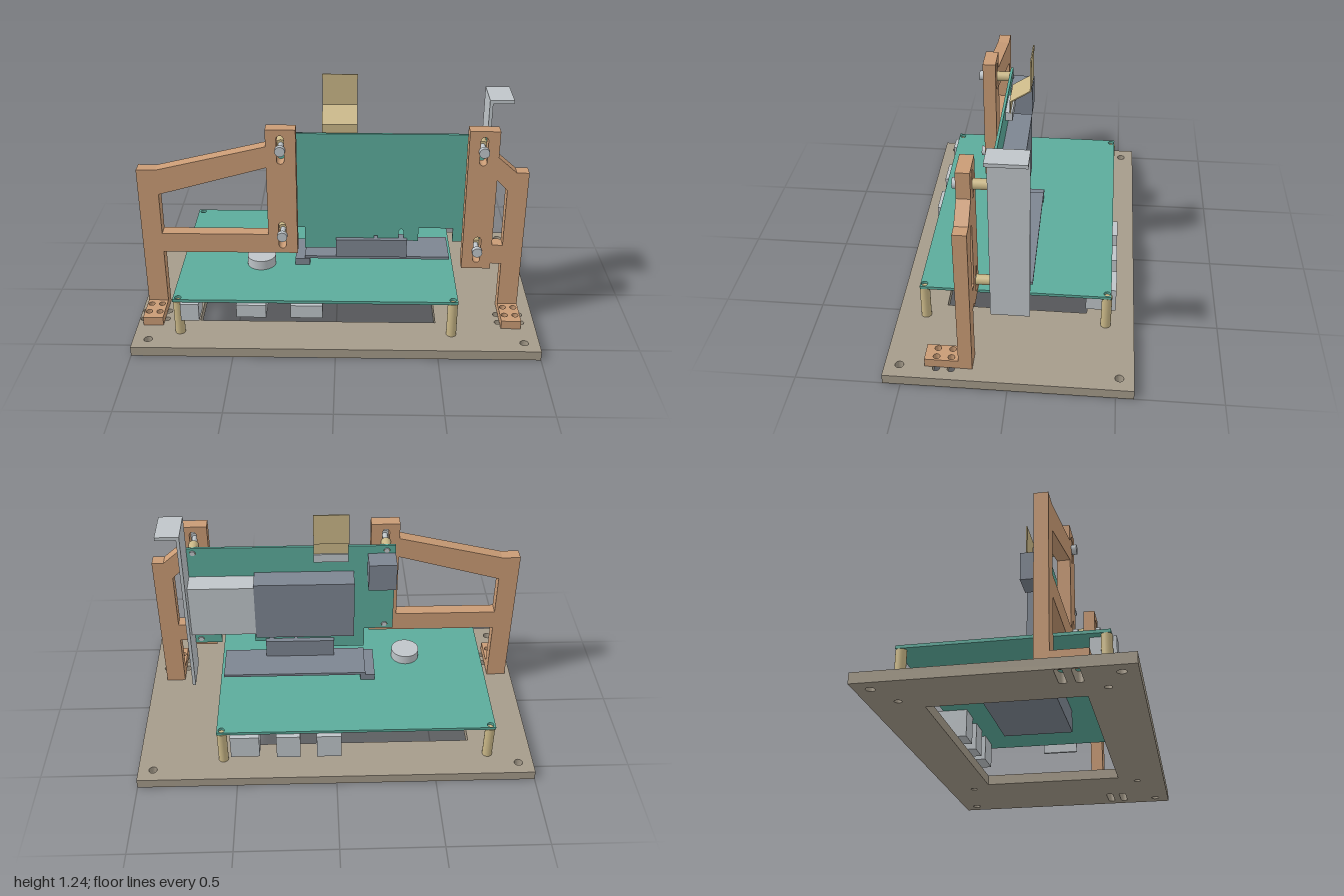
import * as THREE from 'three';

const mat = (name, color) => {
  const m = new THREE.MeshStandardMaterial({ color });
  m.name = name;
  return m;
};

export function createModel() {
  const model = new THREE.Group();
  model.name = 'circuitBoardTestStand';
  const basePlateMat = mat('taupe', 0xa59b8a);
  const bracketMat = mat('copper brown', 0xc99b75);
  const boardMat = mat('board green', 0x5cab9b);
  const slate = mat('slate', 0x7d8591);
  const silver = mat('silver', 0xbfc5c9);
  const brass = mat('brass', 0xc9b787);

  const add = (name, geometry, material, parent = model) => {
    const mesh = new THREE.Mesh(geometry, material);
    mesh.name = name;
    parent.add(mesh);
    return mesh;
  };
  // Box given by its limits on each axis
  const box = (name, material, [x0, x1], [y0, y1], [z0, z1], parent) => {
    const g = new THREE.BoxGeometry(x1 - x0, y1 - y0, z1 - z0);
    g.translate((x0 + x1) / 2, (y0 + y1) / 2, (z0 + z1) / 2);
    return add(name, g, material, parent);
  };
  const poly = (pts) => pts.map(([x, y]) => new THREE.Vector2(x, y));
  const rect = (x0, x1, y0, y1) => [[x0, y0], [x1, y0], [x1, y1], [x0, y1]];
  const circle = (x, y, r) => new THREE.Path().absarc(x, y, r, 0, Math.PI * 2, true);
  const slotY = (x, y0, y1, r) => new THREE.Path()
    .absarc(x, y1 - r, r, 0, Math.PI, false)
    .absarc(x, y0 + r, r, Math.PI, Math.PI * 2, false).closePath();
  const slotX = (x0, x1, y, r) => new THREE.Path()
    .absarc(x1 - r, y, r, -Math.PI / 2, Math.PI / 2, false)
    .absarc(x0 + r, y, r, Math.PI / 2, Math.PI * 1.5, false).closePath();
  const extrude = (pts, holes, depth) => {
    const shape = new THREE.Shape(poly(pts));
    shape.holes.push(...holes);
    return new THREE.ExtrudeGeometry(shape, { depth, bevelEnabled: false, curveSegments: 10 });
  };
  // Plate standing in the XY plane, from z0 to z1
  const upright = (name, material, pts, holes, z0, z1, parent) =>
    add(name, extrude(pts, holes, z1 - z0).translate(0, 0, z0), material, parent);
  // Plate lying flat; its outline is drawn as (x, -z)
  const flat = (name, material, pts, holes, y0, y1, parent) =>
    add(name, extrude(pts, holes, y1 - y0).rotateX(-Math.PI / 2).translate(0, y0, 0), material, parent);

  const standoffs = [];
  for (const x of [-0.775, 0.573]) for (const z of [-0.445, 0.445]) standoffs.push([x, z]);

  // Base plate with window, screw holes and adjustment slots
  const baseHoles = [new THREE.Path(poly(rect(-0.69, 0.5, -0.35, 0.35)))];
  for (const x of [-0.925, 0.925]) {
    for (const z of [-0.515, 0.515]) baseHoles.push(circle(x, z, 0.021));
  }
  for (const x of [-0.92, 0.875]) {
    for (const z of [0.27, 0.34]) baseHoles.push(slotX(x - 0.075, x + 0.075, -z, 0.017));
  }
  for (const [x, z] of standoffs) baseHoles.push(circle(x, z, 0.017));
  flat('basePlate', basePlateMat, rect(-1, 1, -0.585, 0.585), baseHoles, 0, 0.05);

  // Lower circuit board on four standoffs
  flat('mainBoard', boardMat, rect(-0.8, 0.597, -0.465, 0.465),
    standoffs.map(([x, z]) => circle(x, z, 0.016)), 0.235, 0.25);
  for (const [x, z] of standoffs) {
    add('boardStandoff', new THREE.CylinderGeometry(0.025, 0.025, 0.185, 20)
      .translate(x, 0.1425, z), brass);
  }
  add('coinCell', new THREE.CylinderGeometry(0.073, 0.073, 0.05, 32)
    .translate(-0.39, 0.275, 0.11), silver);
  box('processorCooler', slate, [-0.5, 0.095], [0.125, 0.235], [-0.175, 0.17]);

  // Ports hanging under the board: x range, lowest y, z range
  for (const [x, y, z] of [
    [[-0.76, -0.67], 0.142, [0.37, 0.485]],
    [[-0.485, -0.34], 0.165, [0.345, 0.485]],
    [[-0.22, -0.065], 0.165, [0.345, 0.485]],
    [[-0.025, 0.098], 0.097, [-0.49, -0.343]],
    [[0.18, 0.3], 0.097, [-0.49, -0.343]],
    [[0.385, 0.53], 0.107, [-0.49, -0.343]],
  ]) box('portConnector', silver, x, [y, 0.235], z);

  // Riser that carries the card socket
  box('riserPlug', slate, [-0.215, -0.14], [0.25, 0.285], [-0.085, 0.125]);
  box('riserPlate', slate, [-0.165, 0.577], [0.285, 0.3], [-0.085, 0.12]);
  box('cardSocket', slate, [-0.005, 0.357], [0.3, 0.4], [0.063, 0.127]);

  // Expansion card, its lower edge notched around the socket
  const screws = [[-0.27, 0.952], [-0.27, 0.487], [0.7, 0.952], [0.7, 0.408]];
  upright('expansionCard', boardMat, [
    [-0.315, 0.98], [0.73, 0.98], [0.73, 0.382], [0.59, 0.382], [0.59, 0.46],
    [0.415, 0.46], [0.415, 0.385], [0.34, 0.385], [0.34, 0.44], [0.327, 0.458],
    [0.314, 0.44], [0.314, 0.33], [0.207, 0.33], [0.207, 0.415], [0.19, 0.415],
    [0.19, 0.33], [0.0, 0.33], [0.0, 0.34], [-0.165, 0.34], [-0.165, 0.46], [-0.315, 0.46],
  ], screws.map(([x, y]) => circle(x, y, 0.015)), 0.09, 0.103);
  box('cardHeatsink', slate, [-0.105, 0.4], [0.5, 0.83], [-0.025, 0.09]);
  box('cardCage', silver, [0.4, 0.73], [0.52, 0.81], [-0.02, 0.09]);
  box('powerSocket', slate, [-0.315, -0.175], [0.785, 0.935], [-0.02, 0.09]);
  box('ribbonConnector', silver, [-0.075, 0.098], [0.91, 0.955], [0.055, 0.09]);

  // Folded ribbon, its profile drawn as (z, y) and swept along x
  const fold = [[0.07, 0.95], [0.07, 1.015], [-0.03, 1.08], [-0.03, 1.238]];
  const back = fold.map(([z, y]) => [z - 0.006, y - 0.003]).reverse();
  back[0][1] = 1.238;
  add('ribbonCable', extrude([...fold, ...back], [], 0.173)
    .rotateY(-Math.PI / 2).translate(0.098, 0, 0), brass);

  // Bent metal mounting plate at the card's end
  box('slotPlate', silver, [0.73, 0.746], [0.235, 1.16], [-0.085, 0.102]);
  box('slotPlateFlange', silver, [0.746, 0.847], [1.142, 1.16], [-0.085, 0.102]);

  // Two side brackets with slotted plates and drilled feet
  const bracket = (name, outline, opening, slots, footX) => {
    const group = new THREE.Group();
    group.name = name;
    model.add(group);
    upright('bracketFrame', bracketMat, outline,
      [new THREE.Path(poly(opening)), ...slots.map((s) => slotY(...s, 0.018))], 0.17, 0.235, group);
    const holes = [];
    for (const dx of [0.022, 0.075]) {
      for (const z of [0.27, 0.34]) holes.push(circle(footX[0] + dx, -z, 0.016));
    }
    flat('bracketFoot', bracketMat, rect(...footX, -0.395, -0.235), holes, 0.05, 0.095, group);
  };
  bracket('rightBracket', [
    [-0.97, 0.05], [-0.87, 0.05], [-0.87, 0.385], [-0.195, 0.385], [-0.195, 1.055],
    [-0.34, 1.055], [-0.34, 0.968], [-0.875, 0.84], [-0.97, 0.84],
  ], [[-0.87, 0.708], [-0.87, 0.49], [-0.34, 0.49], [-0.34, 0.857]],
  [[-0.27, 0.877, 1.025], [-0.27, 0.412, 0.56]], [-0.97, -0.87]);
  bracket('leftBracket', [
    [0.826, 0.05], [0.925, 0.05], [0.925, 0.84], [0.865, 0.84], [0.773, 0.92],
    [0.773, 1.055], [0.628, 1.055], [0.628, 0.305], [0.773, 0.305], [0.773, 0.335], [0.826, 0.335],
  ], [[0.773, 0.8], [0.773, 0.44], [0.826, 0.44], [0.826, 0.745]],
  [[0.7, 0.877, 1.025], [0.7, 0.34, 0.485]], [0.826, 0.925]);

  // Screws and spacers holding the card to the brackets
  const rod = (name, material, x, y, z0, z1, r) =>
    add(name, new THREE.CylinderGeometry(r, r, z1 - z0, 20)
      .rotateX(Math.PI / 2).translate(x, y, (z0 + z1) / 2), material);
  for (const [x, y] of screws) {
    rod('screwHead', silver, x, y, 0.235, 0.26, 0.025);
    rod('screwShaft', silver, x, y, 0.085, 0.235, 0.013);
    rod('cardSpacer', brass, x, y, 0.103, 0.17, 0.025);
  }
  return model;
}
